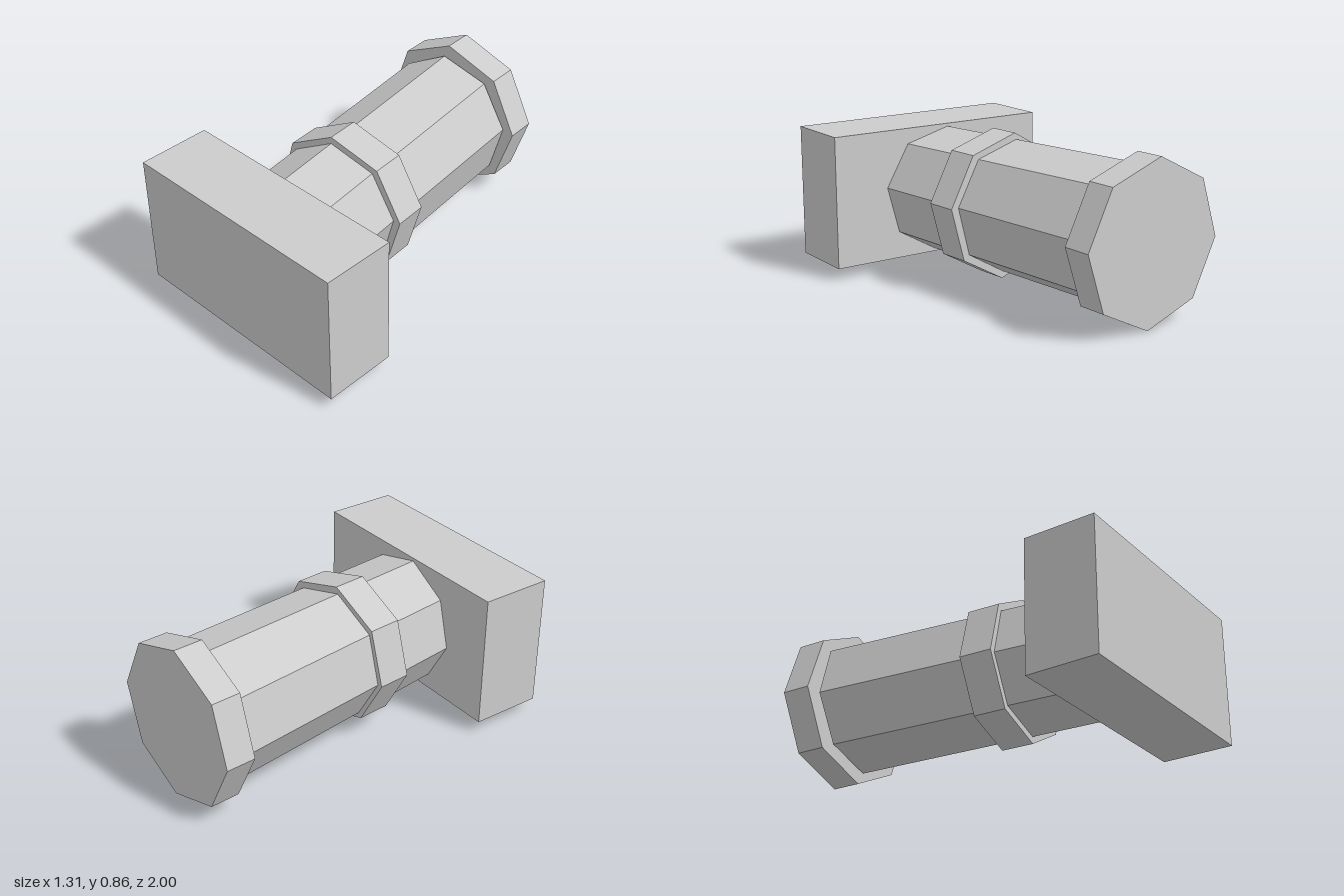
import * as THREE from 'three';

const SIDES = 8;

// Corners of one octagonal section: centre (x, z), radius, yaw and roll in degrees
function section({ x, z, r, yaw, roll }) {
  const a = THREE.MathUtils.degToRad(yaw);
  const points = [];
  for (let i = 0; i < SIDES; i++) {
    const t = THREE.MathUtils.degToRad(roll) + (i / SIDES) * Math.PI * 2;
    const u = r * Math.cos(t);
    points.push([x + u * Math.cos(a), 0.434 + r * Math.sin(t), z - u * Math.sin(a)]);
  }
  return points;
}

// Closed, faceted prism between a front and a back section
function prism(name, front, back, material) {
  const f = section(front), b = section(back);
  const cf = [front.x, 0.434, front.z], cb = [back.x, 0.434, back.z];
  const positions = [];
  for (let i = 0; i < SIDES; i++) {
    const j = (i + 1) % SIDES;
    positions.push(...f[i], ...b[i], ...b[j], ...f[i], ...b[j], ...f[j]);
    positions.push(...cf, ...f[i], ...f[j], ...cb, ...b[j], ...b[i]);
  }
  const geometry = new THREE.BufferGeometry();
  geometry.setAttribute('position', new THREE.Float32BufferAttribute(positions, 3));
  geometry.computeVertexNormals();
  const mesh = new THREE.Mesh(geometry, material);
  mesh.name = name;
  return mesh;
}

export function createModel() {
  const group = new THREE.Group();
  group.name = 'leaningColumn';
  const grey = new THREE.MeshStandardMaterial({ color: 0xcccccc });
  grey.name = 'light grey';

  // Rectangular slab at the front
  const slab = new THREE.Mesh(new THREE.BoxGeometry(1.31, 0.73, 0.395), grey);
  slab.name = 'baseSlab';
  slab.position.set(0, 0.435, 0.8025);
  group.add(slab);

  // Slanted shaft, widening slightly towards the back
  group.add(prism('shaft',
    { x: -0.002, z: 0.7, r: 0.351, yaw: 7, roll: 7.5 },
    { x: -0.197, z: -0.798, r: 0.371, yaw: 5, roll: 7.5 }, grey));

  // Raised band around the shaft
  group.add(prism('band',
    { x: -0.063, z: 0.222, r: 0.396, yaw: 6.2, roll: 6.7 },
    { x: -0.078, z: 0.043, r: 0.396, yaw: 6.2, roll: 6.7 }, grey));

  // Wide cap at the back end
  group.add(prism('endCap',
    { x: -0.2, z: -0.815, r: 0.432, yaw: 3.35, roll: 4.1 },
    { x: -0.21, z: -0.975, r: 0.432, yaw: 3.35, roll: 4.1 }, grey));

  return group;
}
